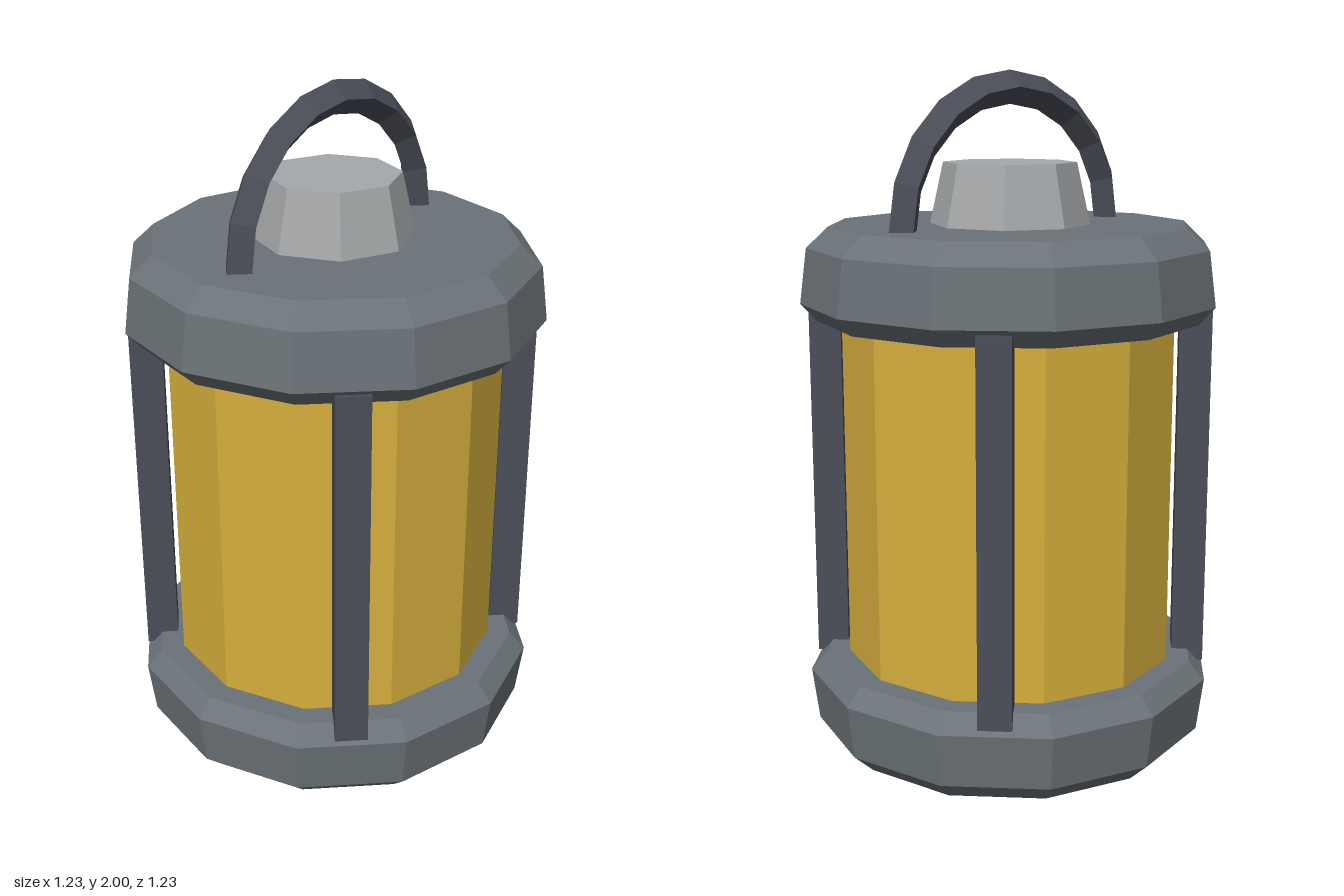
import * as THREE from 'three';

function flat(name, color) {
  const m = new THREE.MeshStandardMaterial({ color, flatShading: true });
  m.name = name;
  return m;
}

export function createModel() {
  const lantern = new THREE.Group();
  lantern.name = 'lantern';

  const steel = flat('grey steel', 0x6b7378);
  const iron = flat('dark iron', 0x4b4e58);
  const amber = flat('amber glass', 0xd6b03c);
  const silver = flat('pale metal', 0xa6a9ab);

  function add(name, geometry, material, x = 0, y = 0, z = 0) {
    const mesh = new THREE.Mesh(geometry, material);
    mesh.name = name;
    mesh.position.set(x, y, z);
    lantern.add(mesh);
    return mesh;
  }

  // Twelve-sided solid turned from [radius, height] pairs, bottom to top
  const turned = (profile) =>
    new THREE.LatheGeometry(profile.map(([r, y]) => new THREE.Vector2(r, y)), 12);

  // The cap is the base profile turned upside down
  const basin = [[0, 0], [0.53, 0], [0.594, 0.06], [0.615, 0.22], [0.567, 0.272], [0, 0.272]];
  const lid = basin.map(([r, y]) => [r, 1.562 - y]).reverse();
  add('base', turned(basin), steel);
  add('cap', turned(lid), steel);

  // Glass body between base and cap
  add('glass', new THREE.CylinderGeometry(0.497, 0.497, 1.06, 12), amber, 0, 0.78, 0);

  // Four square guard posts on the diagonals
  const postGeometry = new THREE.BoxGeometry(0.095, 1.09, 0.095);
  for (let i = 0; i < 4; i++) {
    const a = Math.PI / 4 + (i * Math.PI) / 2;
    const post = add('guardPost', postGeometry, iron, Math.sin(a) * 0.547, 0.783, Math.cos(a) * 0.547);
    post.rotation.y = a;
  }

  // Vent knob on the cap
  add('ventKnob', new THREE.CylinderGeometry(0.195, 0.235, 0.18, 8), silver, 0, 1.65, 0);

  // Half-ring carrying handle with a diamond section
  add('handle', new THREE.TorusGeometry(0.39, 0.048, 4, 10, Math.PI), iron, 0, 1.562, 0);

  return lantern;
}
